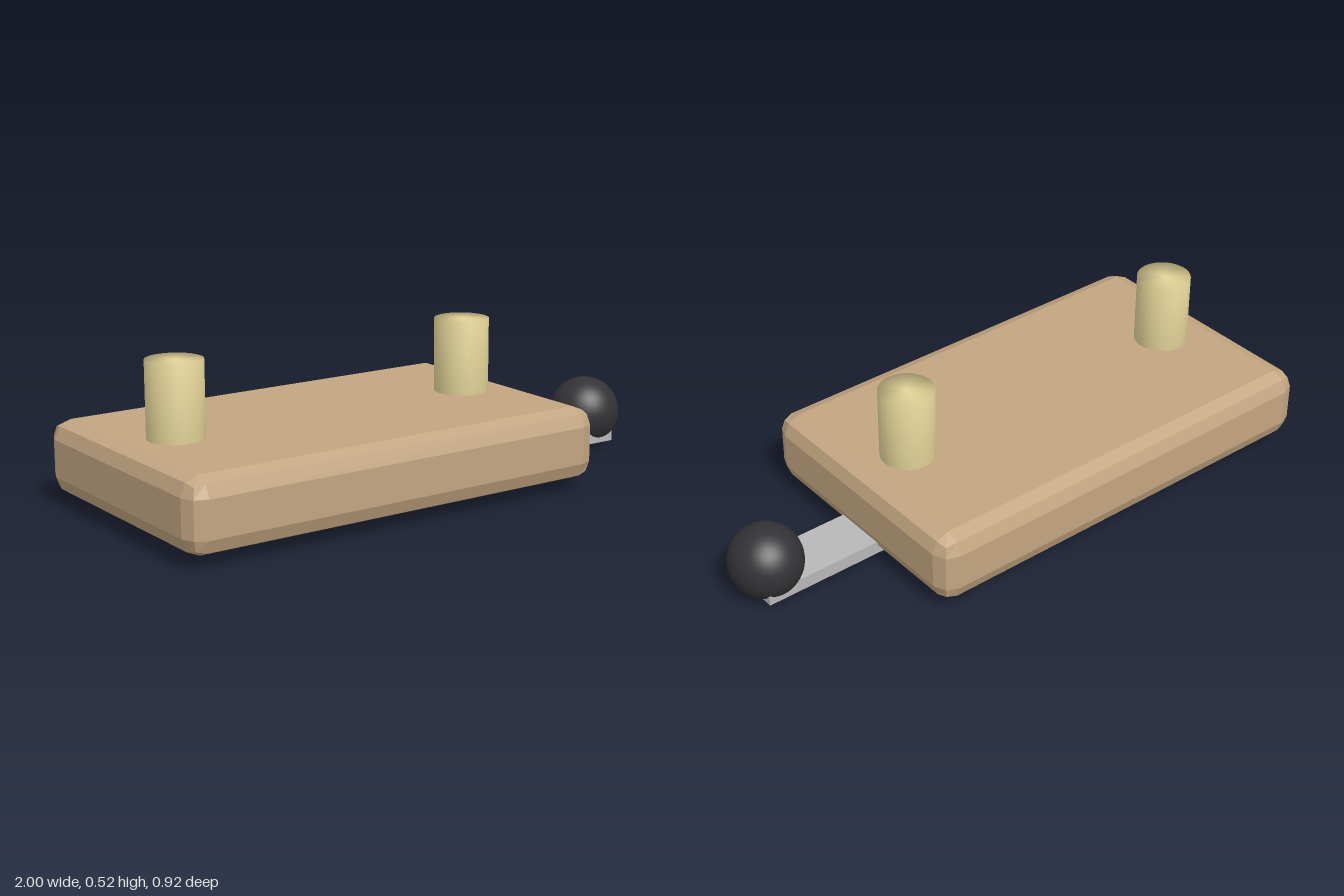
import * as THREE from 'three';
import { RoundedBoxGeometry } from 'three/addons/geometries/RoundedBoxGeometry.js';
import { mergeVertices } from 'three/addons/utils/BufferGeometryUtils.js';

const material = (color, flatShading = false) =>
  new THREE.MeshStandardMaterial({ color, flatShading });

// Weld seams so the shading runs softly over the rim
function softened(geometry) {
  geometry.deleteAttribute('uv');
  geometry.deleteAttribute('normal');
  const welded = mergeVertices(geometry);
  welded.computeVertexNormals();
  return welded;
}

export function createModel() {
  const model = new THREE.Group();
  const add = (name, geometry, mat, x, y, z = 0) => {
    const mesh = new THREE.Mesh(geometry, mat);
    mesh.name = name;
    mesh.position.set(x, y, z);
    model.add(mesh);
  };

  // Wooden block with two-step bevelled edges
  add('body', new RoundedBoxGeometry(1.53, 0.243, 0.92, 1, 0.06),
    material(0xc4a682, true), -0.235, 0.156);

  // Two upright pegs set into the block
  const pegMaterial = material(0xe6d69a);
  const pegGeometry = softened(new THREE.CylinderGeometry(0.092, 0.092, 0.325, 32));
  for (const [name, x] of [['rightPeg', -0.785], ['leftPeg', 0.32]]) {
    add(name, pegGeometry, pegMaterial, x, 0.3625);
  }

  // Flat lever under the block, ending in a round knob
  add('lever', new THREE.BoxGeometry(1.16, 0.045, 0.184), material(0xb8b8b8), 0.35, 0.0475);
  add('knob', new THREE.SphereGeometry(0.122, 32, 24), material(0x333336), 0.878, 0.123);

  return model;
}
